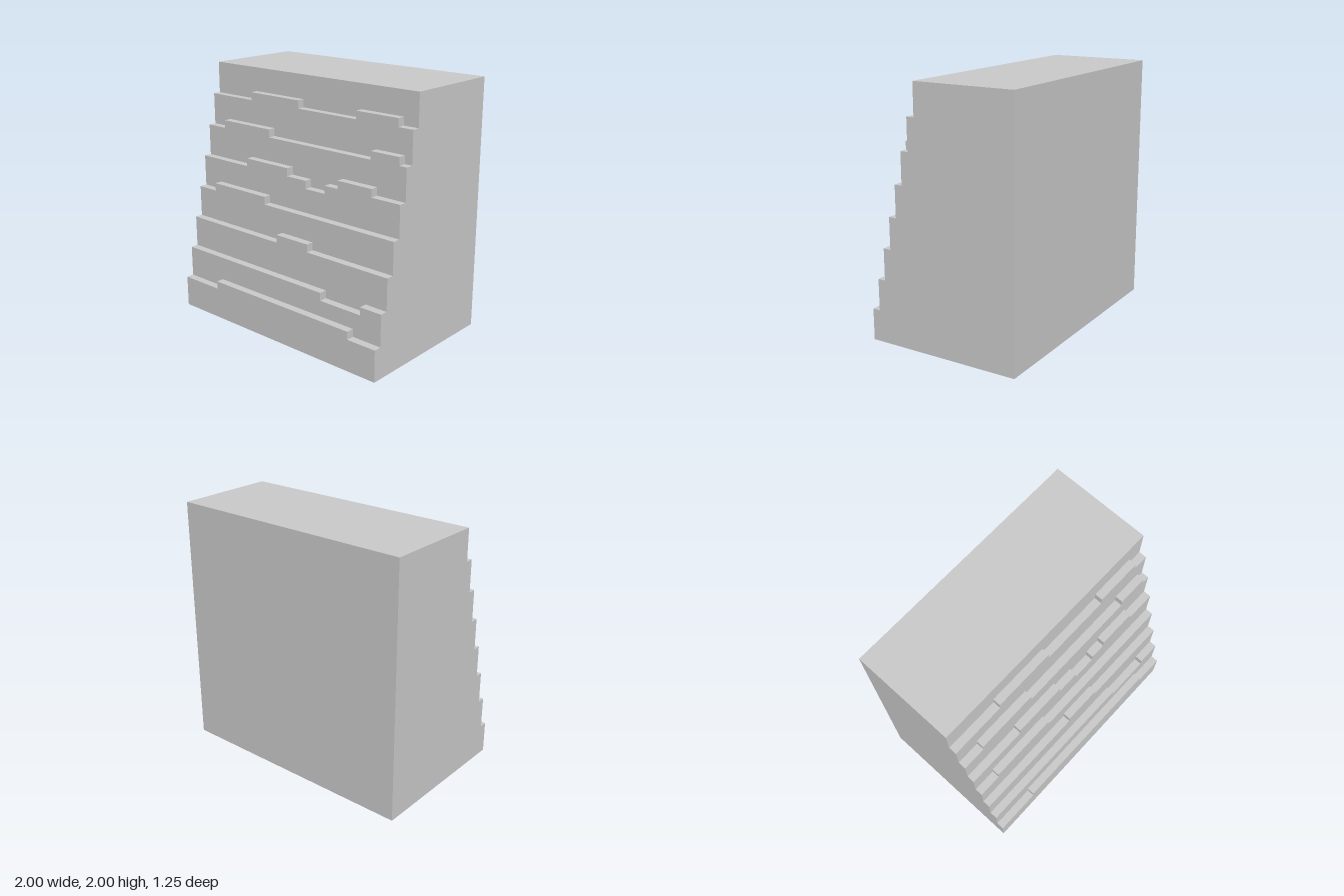
import * as THREE from 'three';

const U = 1 / 16; // grid step of the whole block
const HALF = 16; // half width in steps
const BACK = -10;
const CORE_FRONT = 3;

// Ledges from top to bottom: base height and notches [from x, to x, height], in steps
const LEDGES = [
  { height: 28, notches: [[-9, -1, 29], [8, 14, 29]] },
  { height: 24, notches: [[-13, -5, 25], [11, 15, 25]] },
  { height: 20, notches: [[-8, -1, 21], [2, 5, 19], [7, 12, 21]] },
  { height: 16, notches: [[-13, -4, 17]] },
  { height: 12, notches: [[-1, 4, 13]] },
  { height: 8, notches: [[7, 13, 7]] },
  { height: 4, notches: [[-10, 12, 5]] },
];

// A slab whose top edge follows the stepped skyline, extruded along z
function slab(name, height, notches, back, front, material) {
  const points = [[HALF, 0], [HALF, height]];
  for (const [x0, x1, h] of [...notches].reverse()) {
    points.push([x1, height], [x1, h], [x0, h], [x0, height]);
  }
  points.push([-HALF, height], [-HALF, 0]);
  const shape = new THREE.Shape(points.map(([x, y]) => new THREE.Vector2(x * U, y * U)));
  const geometry = new THREE.ExtrudeGeometry(shape, { depth: (front - back) * U, bevelEnabled: false });
  const mesh = new THREE.Mesh(geometry, material);
  mesh.position.z = back * U;
  mesh.name = name;
  return mesh;
}

export function createModel() {
  const model = new THREE.Group();
  model.name = 'steppedCliffBlock';
  const material = new THREE.MeshStandardMaterial({ color: 0xcccccc, flatShading: true });

  // Full-height body behind the ledges
  model.add(slab('body', 32, [], BACK, CORE_FRONT, material));

  // Each lower ledge stands one step further forward
  LEDGES.forEach(({ height, notches }, i) => {
    const z = CORE_FRONT + i;
    model.add(slab(`ledge${i + 1}`, height, notches, z, z + 1, material));
  });
  return model;
}
